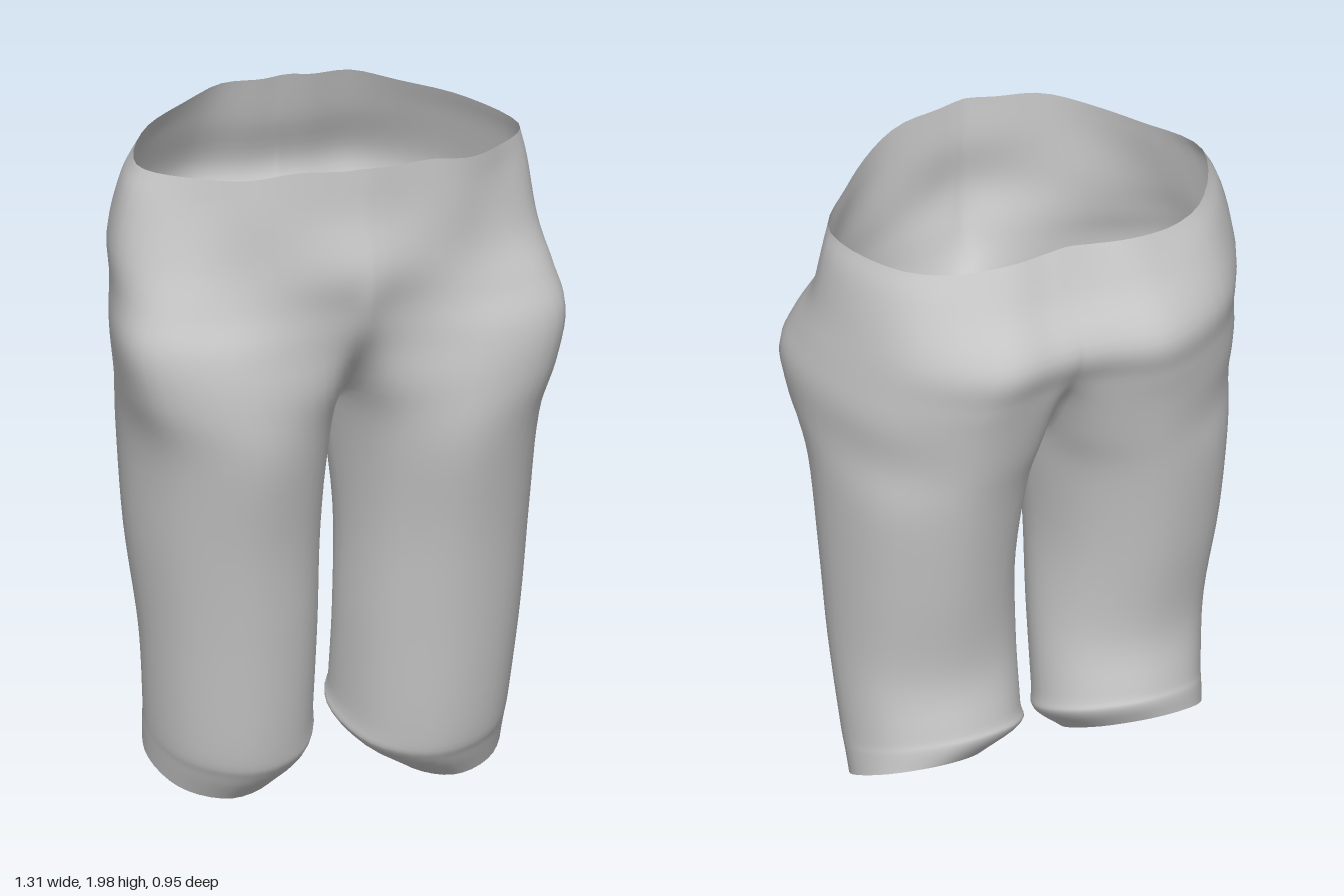
import * as THREE from 'three';
import { mergeGeometries, mergeVertices } from 'three/addons/utils/BufferGeometryUtils.js';

// Cross-sections from waist to hem:
// y, outer x, front seam z, front z, back seam z, back z
const ROWS = [
  [1.957, 0.565, 0.445, 0.375, -0.35, -0.355],
  [1.84, 0.585, 0.445, 0.375, -0.395, -0.405],
  [1.68, 0.605, 0.468, 0.37, -0.455, -0.473],
  [1.55, 0.63, 0.445, 0.38, -0.395, -0.445],
  [1.43, 0.645, 0.385, 0.405, -0.3, -0.41],
  [1.28, 0.63, 0.25, 0.42, -0.18, -0.375],
  [1.1, 0.61, 0.01, 0.41, 0.01, -0.338],
  [0.8, 0.59, 0.03, 0.34, 0.03, -0.278],
  [0.5, 0.568, 0.01, 0.285, 0.01, -0.222],
  [0.24, 0.545, -0.03, 0.23, -0.03, -0.24],
  [0.165, 0.54, -0.04, 0.2, -0.04, -0.25],
  [0.085, 0.535, -0.04, 0.145, -0.04, -0.235],
];
const CROTCH = 6; // row at which the front and back seams meet
const HEM = ROWS.length - 1;
const AROUND = 40;
const STEPS = 5;
const { lerp: mix, smoothstep } = THREE.MathUtils;
const bump = (v, centre, width) => Math.exp(-(((v - centre) / width) ** 2));

// One cross-section of a half, from the front seam round the outside to the back seam
function section([y, outer, zif, zf, zib, zb], index, side) {
  const pelvis = index < CROTCH;
  const xi = index <= CROTCH ? 0 : index === HEM ? 0.13 + 0.02 * side : 0.03;
  // The right hip is fuller and its lower leg a little slimmer
  const xo = side > 0 ? outer : outer + 0.043 * bump(y, 1.73, 0.15) - (y < 0.7 ? 0.018 : 0);
  const zs = pelvis ? 0.05 : (zf + zb) / 2;
  const thigh = bump(y, 1.4, 0.2);
  const belly = smoothstep(y, 1.4, 1.65);
  const waist = 0.13 * smoothstep(y, 1.5, 1.85);
  const xf = mix(xi, xo, 0.5 + 0.11 * thigh);
  const xb = mix(xi, xo, pelvis ? 0.4 + 0.018 * index : 0.5);
  const kx = 0.7 + 0.22 * thigh - waist; // fullness of the front thigh corner
  const kz = 0.7 - 0.03 * thigh - waist;
  const kb = pelvis ? 0.66 : 0.71;
  const tilt = Math.max(0, 0.5 - y) * 1.3; // hems hang lower at the front
  const pts = [
    [xi, zif],
    [mix(xi, xf, 0.3), mix(zif, zf, 0.71 - 0.5 * belly)],
    [xf, zf],
    [mix(xf, xo, kx), mix(zs, zf, kz)],
    [xo, zs],
    [mix(xb, xo, kb), mix(zs, zb, kb)],
    [xb, zb],
    [mix(xi, xb, 0.3), mix(zib, zb, 0.71 - 0.4 * belly)],
    [xi, zib],
  ].map(([x, z]) => new THREE.Vector3(x, y - tilt * z, z));
  if (!pelvis) pts.pop();
  const curve = new THREE.CatmullRomCurve3(pts, !pelvis, 'catmullrom', 0.5);
  return Array.from({ length: AROUND + 1 }, (_, c) => {
    const p = curve.getPoint(c / AROUND);
    // Wavy waist, high at front and back
    if (index === 0) p.y += 0.033 * Math.cos((c / AROUND) * Math.PI * 2) + 0.017 * bump(p.x, 0.2, 0.1);
    return p;
  });
}

// Half of the garment: sections joined by smooth curves running down
function half(side) {
  const sections = ROWS.map((row, i) => section(row, i, side));
  const rows = HEM * STEPS;
  const columns = sections[0].map((_, c) =>
    new THREE.CatmullRomCurve3(sections.map((s) => s[c]), false, 'catmullrom', 0.5).getPoints(rows));

  // Centre seams lie on x = 0 above the crotch and close up below it
  for (let r = 0; r <= rows; r++) {
    const a = columns[0][r];
    const b = columns[AROUND][r];
    if (r <= CROTCH * STEPS) a.x = b.x = 0;
    else b.copy(a.lerp(b, 0.5));
  }

  const positions = [];
  const indices = [];
  const w = AROUND + 1;
  for (let r = 0; r <= rows; r++) {
    for (let c = 0; c < w; c++) {
      const p = columns[c][r];
      positions.push(side * p.x, p.y, p.z);
      if (r === rows || c === AROUND) continue;
      const i = r * w + c;
      const quad = [i, i + w, i + 1, i + 1, i + w, i + w + 1];
      indices.push(...(side > 0 ? quad : quad.reverse()));
    }
  }
  const geometry = new THREE.BufferGeometry();
  geometry.setAttribute('position', new THREE.Float32BufferAttribute(positions, 3));
  geometry.setIndex(indices);
  return geometry;
}

export function createModel() {
  const group = new THREE.Group();
  group.name = 'trousers';

  // Both halves welded along the seams into one smooth open shell
  const geometry = mergeVertices(mergeGeometries([half(1), half(-1)]), 1e-4);
  geometry.computeVertexNormals();
  geometry.computeBoundingBox();
  geometry.translate(0, -geometry.boundingBox.min.y, 0);

  const material = new THREE.MeshStandardMaterial({ color: 0xcccccc, side: THREE.DoubleSide });
  const cloth = new THREE.Mesh(geometry, material);
  cloth.name = 'trouserCloth';
  group.add(cloth);
  return group;
}
